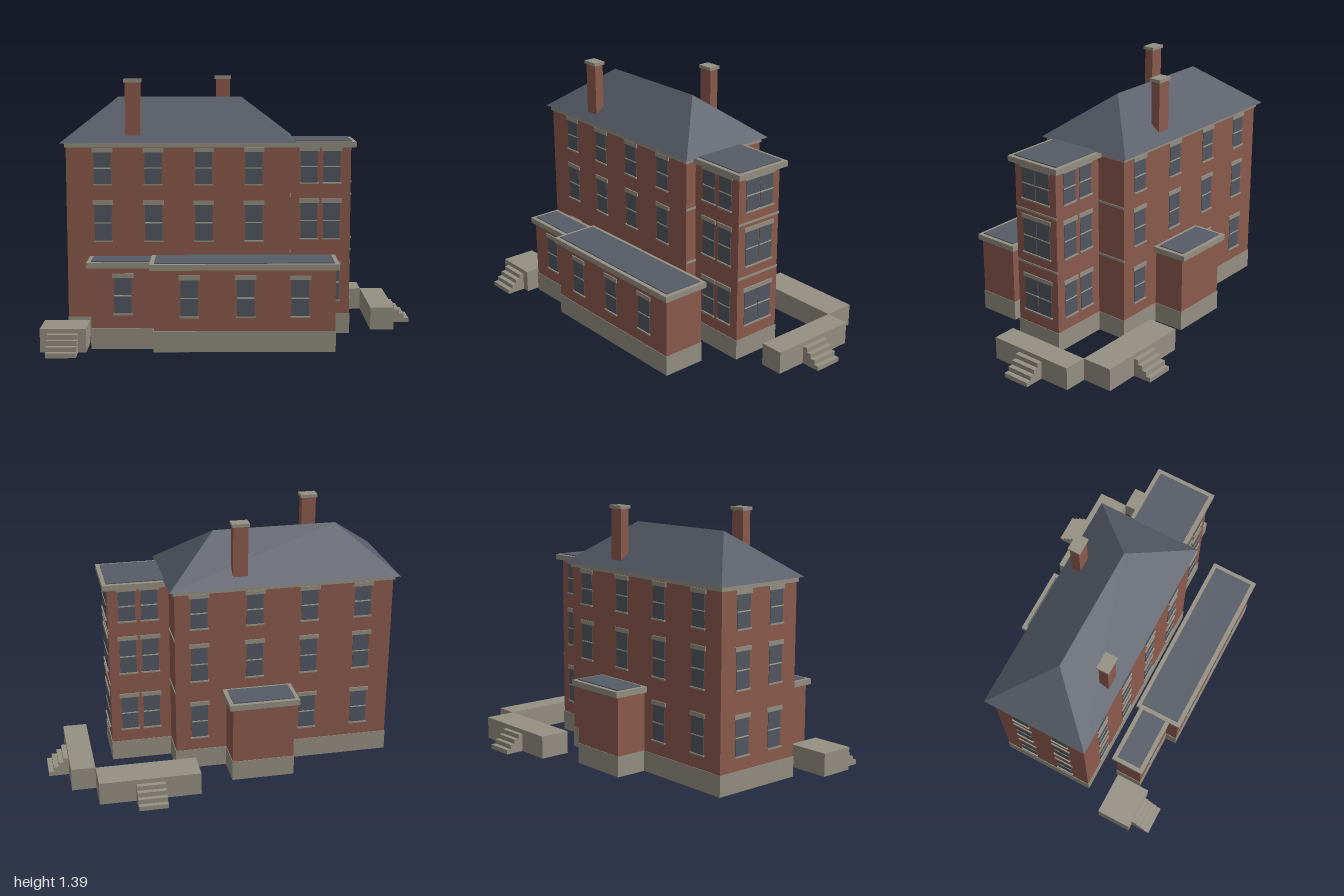
import * as THREE from 'three';

const mat = (name, color, side = THREE.FrontSide) => {
  const m = new THREE.MeshStandardMaterial({ color, side });
  m.name = name;
  return m;
};

export function createModel() {
  const brick = mat('brick', 0x8c5b4d);
  const stone = mat('stone', 0x959083);
  const slate = mat('slate', 0x565b66);
  const glass = mat('glass', 0x525862);
  const sash = mat('sash', 0xaaa798);

  const model = new THREE.Group();
  model.name = 'brickHouse';

  const group = (name, parent = model) => {
    const g = new THREE.Group();
    g.name = name;
    parent.add(g);
    return g;
  };

  // Box given by its limits on each axis
  const block = (parent, name, material, [x0, x1], [y0, y1], [z0, z1]) => {
    const mesh = new THREE.Mesh(new THREE.BoxGeometry(x1 - x0, y1 - y0, z1 - z0), material);
    mesh.position.set((x0 + x1) / 2, (y0 + y1) / 2, (z0 + z1) / 2);
    mesh.name = name;
    parent.add(mesh);
    return mesh;
  };
  const grow = ([a, b], d) => [a - d, b + d];

  // Brick body with a stone foundation
  const body = (name, x, z, top) => {
    const g = group(name);
    block(g, 'walls', brick, x, [0, top], z);
    block(g, 'foundation', stone, grow(x, 0.003), [0.001, 0.112], grow(z, 0.003));
    return g;
  };

  // Stone cornice with an inset flat slate roof
  const flatRoof = (g, x, z, y0, y1) => {
    block(g, 'cornice', stone, x, [y0, y1], z);
    block(g, 'flatRoof', slate, grow(x, -0.023), [y1 - 0.01, y1 + 0.005], grow(z, -0.023));
  };

  // Window rows: bottom and top of the glass
  const rows = [[0.19, 0.38], [0.53, 0.722], [0.835, 1.005]];
  const W = 0.09;

  // Window with its outer face along local +z; several panes may share a lintel
  const windowUnit = (x, z, turn, [y0, y1], panes = [0]) => {
    const g = group('window');
    g.position.set(x, 0, z);
    g.rotation.y = turn;
    const mid = (y0 + y1) / 2;
    for (const c of panes) {
      block(g, 'glass', glass, [c - W / 2, c + W / 2], [y0, y1], [-0.003, 0.003]);
      block(g, 'meetingRail', sash, [c - W / 2, c + W / 2], [mid - 0.003, mid + 0.003], [-0.003, 0.005]);
    }
    const span = [panes[0] - W / 2, panes[panes.length - 1] + W / 2];
    block(g, 'lintel', stone, grow(span, 0.01), [y1, y1 + 0.023], [-0.003, 0.006]);
    block(g, 'sill', stone, grow(span, 0.006), [y0 - 0.008, y0], [-0.003, 0.01]);
  };

  // Main block
  const mx = [-0.89, 0.303], mz = [-0.282, 0.241];
  const main = body('mainBlock', mx, mz, 1.045);
  block(main, 'cornice', stone, grow(mx, 0.008), [1.03, 1.055], grow(mz, 0.008));

  // Hipped roof from four eaves corners and two ridge ends
  const A = [-0.92, 1.055, 0.265], B = [0.333, 1.055, 0.265];
  const C = [0.333, 1.055, -0.315], D = [-0.92, 1.055, -0.315];
  const R = [-0.63, 1.285, -0.025], S = [0.045, 1.285, -0.025];
  const tris = [A, B, S, A, S, R, C, D, R, C, R, S, B, C, S, D, A, R, A, D, C, A, C, B];
  const hip = new THREE.BufferGeometry();
  hip.setAttribute('position', new THREE.Float32BufferAttribute(tris.flat(), 3));
  hip.computeVertexNormals();
  const roof = new THREE.Mesh(hip, slate);
  roof.name = 'hippedRoof';
  main.add(roof);

  // Chimneys
  for (const [x, z] of [[-0.535, 0.192], [-0.055, -0.233]]) {
    const g = group('chimney');
    block(g, 'stack', brick, [x - 0.04, x + 0.04], [1.06, 1.375], [z - 0.026, z + 0.026]);
    block(g, 'cap', stone, [x - 0.047, x + 0.047], [1.373, 1.39], [z - 0.034, z + 0.034]);
  }

  // Side bay with three floors
  const tx = [0.29, 0.633], tz = [-0.107, 0.176];
  const bay = body('sideBay', tx, tz, 1.045);
  flatRoof(bay, [0.295, 0.66], [-0.138, 0.2], 1.025, 1.055);

  // String courses on the side facing +x
  for (const y of [0.465, 0.77]) {
    block(main, 'stringCourse', stone, [0.3, 0.307], [y - 0.006, y + 0.006], mz);
    block(bay, 'stringCourse', stone, [0.63, 0.637], [y - 0.006, y + 0.006], tz);
  }

  // Front wing in two widths, standing just clear of the main block
  const wing = body('frontWing', [-0.413, 0.522], [0.328, 0.562], 0.45);
  flatRoof(wing, [-0.433, 0.54], [0.308, 0.578], 0.432, 0.463);
  const wingEnd = body('frontWingEnd', [-0.74, -0.41], [0.35, 0.497], 0.45);
  flatRoof(wingEnd, [-0.76, -0.413], [0.33, 0.515], 0.432, 0.462);

  // Back porch
  const porch = body('backPorch', [-0.312, 0.024], [-0.46, -0.28], 0.45);
  flatRoof(porch, [-0.335, 0.046], [-0.486, -0.28], 0.432, 0.463);

  // Windows of the main block and bay on every floor
  rows.forEach((row, floor) => {
    for (const x of [-0.697, -0.427, -0.158, 0.11]) windowUnit(x, mz[1], 0, row);
    for (const x of [-0.725, -0.43, -0.13, 0.172]) {
      if (floor > 0 || x !== -0.13) windowUnit(x, mz[0], Math.PI, row);
    }
    for (const z of [-0.135, 0.095]) windowUnit(mx[0], z, -Math.PI / 2, row);
    for (const x of [0.409, 0.531]) {
      windowUnit(x, tz[1], 0, row);
      windowUnit(x, tz[0], Math.PI, row);
    }
    windowUnit(tx[1], 0.033, Math.PI / 2, row, [-0.048, 0.048]);
  });

  // Windows of the front wing
  for (const x of [-0.23, 0.06, 0.34]) {
    windowUnit(x, 0.562, 0, rows[0]);
    windowUnit(x, 0.328, Math.PI, rows[0]);
  }
  windowUnit(-0.575, 0.497, 0, rows[0]);

  // Stone terraces, with steps descending along local +z
  const steps = (x, z, turn, halfWidth, run) => {
    const g = group('steps');
    g.position.set(x, 0, z);
    g.rotation.y = turn;
    for (let i = 0; i < 4; i++) {
      block(g, 'step', stone, [-halfWidth, halfWidth], [0, 0.1 - i * 0.025],
        [i * run / 4, (i + 1) * run / 4]);
    }
  };
  const terrace = (name, x, z) => block(model, name, stone, x, [0, 0.125], z);
  terrace('backTerrace', [0.217, 0.76], [-0.567, -0.395]);
  steps(0.488, -0.567, Math.PI, 0.078, 0.105);
  terrace('sideTerrace', [0.76, 0.89], [-0.395, 0.107]);
  steps(0.89, -0.142, Math.PI / 2, 0.078, 0.11);
  terrace('frontTerrace', [-1, -0.762], [0.367, 0.562]);
  steps(-0.882, 0.562, 0, 0.078, 0.107);

  return model;
}
